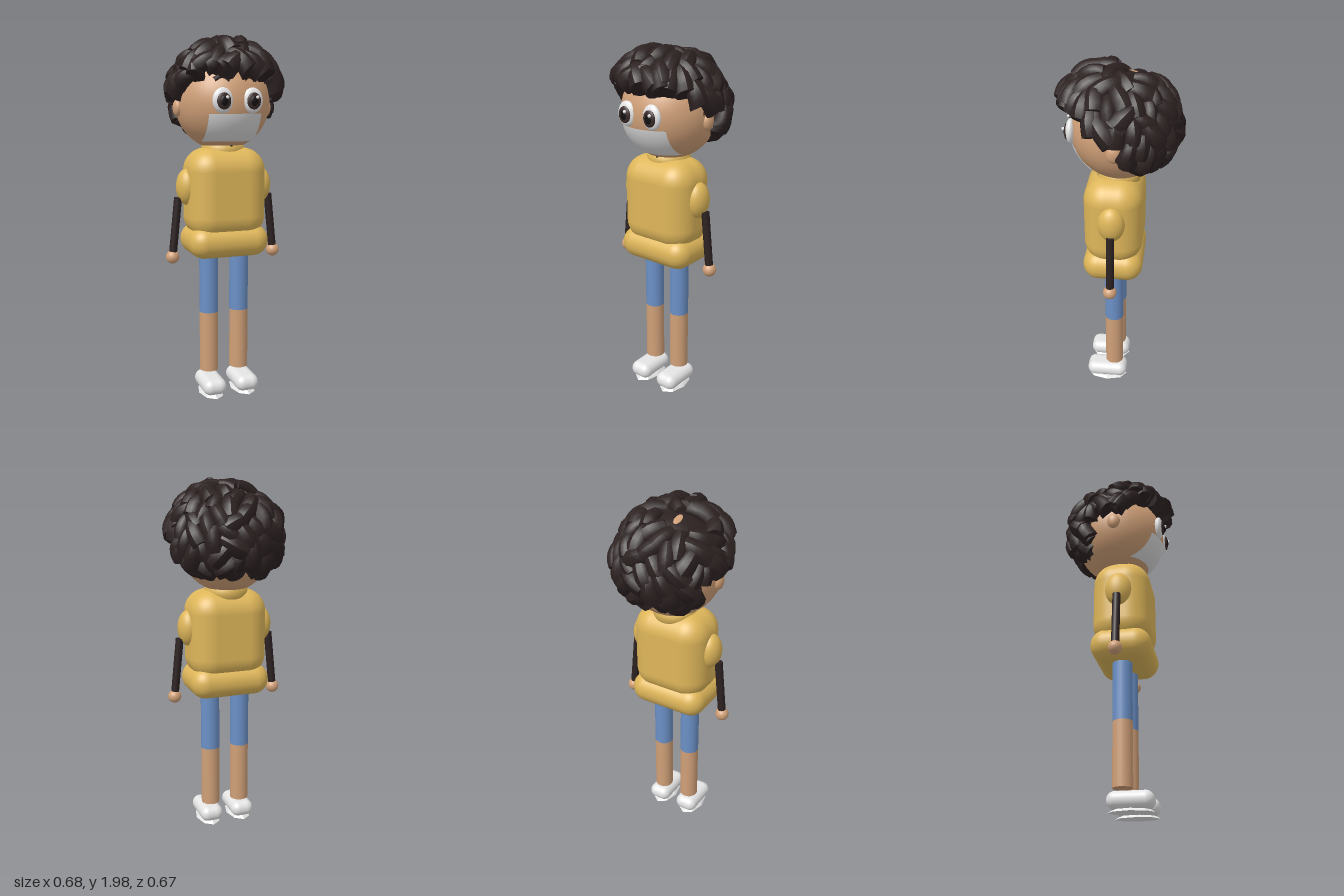
import * as THREE from 'three';
import { mergeGeometries } from 'three/addons/utils/BufferGeometryUtils.js';
import { RoundedBoxGeometry } from 'three/addons/geometries/RoundedBoxGeometry.js';
import { ParametricGeometry } from 'three/addons/geometries/ParametricGeometry.js';

const material = (name, color, side = THREE.FrontSide) => {
  const m = new THREE.MeshStandardMaterial({ color, side });
  m.name = name;
  return m;
};

const CX = -0.005;               // body centre line
const BZ = 0.03;                 // body depth centre
const HEAD_Y = 1.645, HEAD_R = 0.26;

export function createModel() {
  const model = new THREE.Group();
  model.name = 'standingFigure';

  const skin = material('skin', 0xd0a078);
  const yellow = material('yellowSweater', 0xdeb65a);
  const denim = material('blueShorts', 0x6b90c6);
  const hair = material('darkHair', 0x2c2121, THREE.DoubleSide);
  const white = material('white', 0xe4e4e4);
  const cloth = material('maskCloth', 0xdadada, THREE.DoubleSide);
  const black = material('black', 0x141011);
  const brown = material('irisBrown', 0x3a2b29);

  const add = (name, geometry, mat, x = 0, y = 0, z = 0, parent = model) => {
    const mesh = new THREE.Mesh(geometry, mat);
    mesh.name = name;
    mesh.position.set(x, y, z);
    parent.add(mesh);
    return mesh;
  };
  const ellipsoid = (rx, ry, rz) => new THREE.SphereGeometry(1, 28, 18).scale(rx, ry, rz);

  // Sweater: body, hem roll and collar
  add('sweaterBody', new RoundedBoxGeometry(0.44, 0.5, 0.32, 8, 0.125), yellow, CX, 1.15, BZ);
  add('sweaterHem', new RoundedBoxGeometry(0.455, 0.175, 0.33, 8, 0.086), yellow, CX, 0.888, BZ);
  const collar = [[0.1, 1.34], [0.115, 1.36], [0.12, 1.385], [0.118, 1.41], [0.105, 1.42], [0.09, 1.41]];
  add('collar', new THREE.LatheGeometry(collar.map(p => new THREE.Vector2(...p)), 32), yellow, CX, 0, 0.01);

  // Limbs, mirrored about the body centre
  for (const s of [-1, 1]) {
    const side = s > 0 ? 'left' : 'right';
    add(side + 'Sleeve', ellipsoid(0.06, 0.1, 0.073), yellow, CX + s * 0.213, 1.19, BZ);

    const arm = add(side + 'Arm', new THREE.CylinderGeometry(0.022, 0.022, 0.32, 16), hair, CX + s * 0.281, 0.975, BZ);
    arm.rotation.z = s * 0.105;
    add(side + 'Hand', ellipsoid(0.037, 0.037, 0.037), skin, CX + s * 0.299, 0.805, BZ);

    const lx = CX + s * 0.09;
    add(side + 'Leg', new THREE.CylinderGeometry(0.053, 0.053, 0.345, 28), skin, lx, 0.3025, BZ);
    add(side + 'ShortsLeg', new THREE.CylinderGeometry(0.0535, 0.0535, 0.375, 28), denim, lx, 0.6625, BZ);

    const sx = CX + s * 0.096;
    add(side + 'Shoe', new RoundedBoxGeometry(0.134, 0.09, 0.24, 7, 0.044), white, sx, 0.067, 0.073);
    // Faceted sole plate
    const sole = new THREE.CylinderGeometry(0.055, 0.068, 0.014, 8).toNonIndexed();
    sole.computeVertexNormals();
    add(side + 'Sole', sole.scale(1, 1, 1.75), white, sx, 0.016, 0.073);
  }

  // Head with ears
  const head = new THREE.Group();
  head.name = 'head';
  head.position.set(CX, HEAD_Y, 0);
  model.add(head);
  add('skull', new THREE.SphereGeometry(HEAD_R, 48, 32), skin, 0, 0, 0, head);
  for (const s of [-1, 1]) {
    const side = s > 0 ? 'left' : 'right';
    add(side + 'Ear', ellipsoid(0.025, 0.046, 0.037), skin, s * 0.257, -0.03, 0.01, head);

    // Eye: white, iris, pupil and bright glint
    const eye = new THREE.Group();
    eye.name = side + 'Eye';
    eye.position.set(s * 0.082, 0.008, 0.247);
    head.add(eye);
    add('eyeWhite', ellipsoid(0.056, 0.066, 0.026), white, 0, 0, 0, eye);
    add('iris', ellipsoid(0.038, 0.043, 0.012), brown, 0, -0.003, 0.021, eye);
    add('pupil', ellipsoid(0.022, 0.027, 0.008), black, 0, -0.003, 0.028, eye);
    add('glint', ellipsoid(0.009, 0.009, 0.009), white, 0.014, 0.016, 0.036, eye);

    // Arched brow following the forehead
    const browPoints = [[0.035, 0.11], [0.06, 0.13], [0.085, 0.13], [0.115, 0.112]].map(([x, y]) =>
      new THREE.Vector3(s * x, y, Math.sqrt(HEAD_R ** 2 - x * x - y * y)));
    add(side + 'Brow', new THREE.TubeGeometry(new THREE.CatmullRomCurve3(browPoints), 12, 0.014, 8), hair, 0, 0, 0, head);
  }

  // Face mask: a rectangle draped over the front of the skull
  const drape = (u, v, p) => {
    const x = -0.145 + 0.29 * u, y = -0.207 + 0.147 * v;
    p.set(x, y, Math.sqrt(Math.max(0.001, (HEAD_R + 0.006) ** 2 - x * x - y * y)));
  };
  add('faceMask', new ParametricGeometry(drape, 24, 14), cloth, 0, 0, 0, head);
  add('chinDot', ellipsoid(0.008, 0.006, 0.008), black, 0.01, -0.231, 0.121, head);

  // Hair: hairline gives the lowest polar angle for each heading (0 = front)
  const step = THREE.MathUtils.smoothstep;
  const hairline = a => {
    const t = Math.abs(a);
    const nape = a > 0 ? step(t, 1.65, 1.95) : step(t, 1.85, 2.5);
    return 0.99 + 0.35 * step(t, 0.85, 1.3) + 0.74 * nape;
  };
  const direction = (a, theta, p) =>
    p.set(Math.sin(theta) * Math.sin(a), Math.cos(theta), Math.sin(theta) * Math.cos(a));

  const hairGroup = new THREE.Group();
  hairGroup.name = 'hair';
  hairGroup.position.set(0, 1.66, 0);
  model.add(hairGroup);
  const cap = (u, v, p) => {
    const a = (u * 2 - 1) * Math.PI;
    direction(a, v * hairline(a), p).multiplyScalar(0.279);
  };
  add('hairCap', new ParametricGeometry(cap, 56, 20), hair, 0, 0, 0, hairGroup);

  // Small bare patch at the crown
  const crown = new THREE.Vector3(-0.07, 0.26, -0.07).normalize();
  const patch = add('crownPatch', ellipsoid(0.04, 0.018, 0.004), skin, 0, 0, 0, hairGroup);
  patch.position.copy(crown).multiplyScalar(0.279);
  patch.lookAt(crown.clone().multiplyScalar(2).add(hairGroup.position));
  patch.rotateZ(0.9);

  // One curl: a blunt tapered tube bent toward the scalp
  const curl = new THREE.CylinderGeometry(0.038, 0.052, 0.14, 10, 5);
  const pos = curl.attributes.position;
  for (let i = 0; i < pos.count; i++) pos.setZ(i, pos.getZ(i) - 4 * pos.getY(i) ** 2);
  curl.computeVertexNormals();

  let seed = 7;
  const random = () => (seed = (seed * 16807) % 2147483647) / 2147483647;
  const curls = [];
  const holder = new THREE.Object3D();
  const placeCurl = (a, theta) => {
    const d = direction(a, theta, new THREE.Vector3());
    if (d.angleTo(crown) < 0.42) return;
    const forward = Math.max(0, d.z) * Math.max(0, d.y);
    const tuck = 0.035 * step(theta, 1.65, 2.1);
    holder.position.copy(d).multiplyScalar(0.277 + 0.02 * random() + 0.075 * forward - tuck);
    holder.lookAt(d.clone().multiplyScalar(2));
    holder.rotateZ((random() - 0.5) * 2.2);
    holder.scale.setScalar(0.88 + 0.25 * random());
    holder.updateMatrix();
    curls.push(curl.clone().applyMatrix4(holder.matrix));
  };
  // Even spiral of curls over the scalp
  const COUNT = 170;
  for (let i = 0; i < COUNT; i++) {
    const theta = Math.acos(1 - 2 * (i + 0.5) / COUNT);
    const turn = (i * 2.39996) % (2 * Math.PI);
    const a = turn > Math.PI ? turn - 2 * Math.PI : turn;
    if (theta < hairline(a) - 0.02) placeCurl(a, theta);
  }
  // A row of curls along the edge
  for (let i = 0; i < 28; i++) {
    const a = (i / 28 * 2 - 1) * Math.PI;
    placeCurl(a, hairline(a) - 0.06);
  }
  add('curls', mergeGeometries(curls), hair, 0, 0, 0, hairGroup);

  return model;
}
